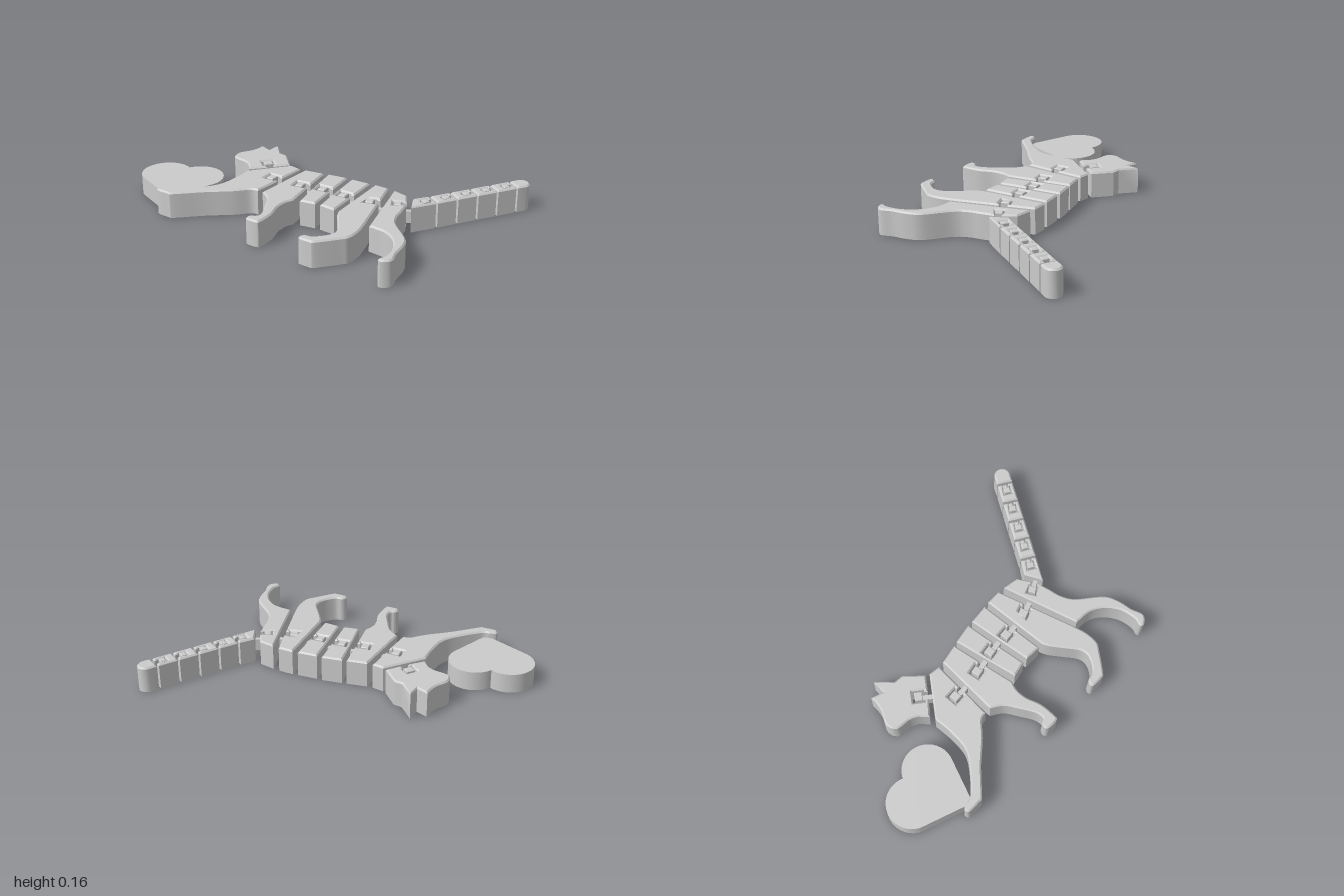
import * as THREE from 'three';
import { toCreasedNormals } from 'three/addons/utils/BufferGeometryUtils.js';

const H = 0.155, BEVEL = 0.009;
const material = new THREE.MeshStandardMaterial({ color: 0xcccccc });

// A joint is a point on a segment's edge, plus the direction into that segment
function joint(x, z, dx, dz, scale = 1) {
  const l = Math.hypot(dx, dz);
  return { x, z, dx: dx / l, dz: dz / l, scale };
}

// Joint coordinates (u inward, v along the edge) to plan coordinates
function at(j, u, v) {
  u *= j.scale; v *= j.scale;
  return [j.x + j.dx * u + j.dz * v, j.z + j.dz * u - j.dx * v];
}

// T-shaped pocket, spliced into an outline
function socket(j) {
  return [[0, -0.022], [0.02, -0.022], [0.02, -0.035], [0.09, -0.035],
    [0.09, 0.035], [0.02, 0.035], [0.02, 0.022], [0, 0.022]].map(([u, v]) => at(j, u, v));
}

// Plan outline: straight corners, then an optional smooth run
function outline(corners, curve = []) {
  const s = new THREE.Shape();
  corners.forEach(([x, z], i) => (i ? s.lineTo(x, -z) : s.moveTo(x, -z)));
  if (curve.length) s.splineThru(curve.map(([x, z]) => new THREE.Vector2(x, -z)));
  return s;
}

// Upright plate with a chamfered top edge and a flat underside
function plate(name, shape, height = H, bevel = BEVEL, y = 0) {
  const g = new THREE.ExtrudeGeometry(shape, {
    depth: height - bevel, bevelEnabled: bevel > 0, bevelThickness: bevel,
    bevelSize: bevel, bevelOffset: -bevel, bevelSegments: 1, curveSegments: 5,
  });
  const p = g.attributes.position;
  for (let i = 0; i < p.count; i++) p.setZ(i, Math.max(0, p.getZ(i)));
  g.rotateX(-Math.PI / 2);
  const mesh = new THREE.Mesh(toCreasedNormals(g, 0.5), material);
  mesh.name = name;
  mesh.position.y = y;
  return mesh;
}

// Low neck and full-height head that sit in a neighbour's pocket
function tongue(j) {
  const rect = (u0, u1, v) => outline([[u0, -v], [u1, -v], [u1, v], [u0, v]].map(([u, w]) => at(j, u, w)));
  const g = new THREE.Group();
  g.name = 'hingeTongue';
  g.add(plate('hingeNeck', rect(-0.045, 0.045, 0.014), 0.07, 0, 0.043));
  g.add(plate('hingeHead', rect(0.033, 0.078, 0.025), H, 0.004));
  return g;
}

export function createModel() {
  const model = new THREE.Group();
  model.name = 'jointedCat';

  const neck = joint(-0.36, 0.022, -0.78, -0.63);
  const spine = [
    joint(-0.204, 0.135, -1, 0.03), joint(-0.014, 0.115, -1, 0.17), joint(0.123, 0.09, -1, 0.12),
    joint(0.262, 0.09, -1, 0.07), joint(0.424, 0.06, -1, 0.3), joint(0.557, -0.005, -0.87, 0.45, 0.85),
  ];

  // Head with pointed ear
  model.add(plate('head', outline(
    [[-0.59, -0.2], [-0.52, -0.175], [-0.515, -0.255], [-0.43, -0.17], [-0.38, -0.165], [-0.285, -0.07],
      ...socket(neck), [-0.445, 0.115], [-0.49, 0.065]],
    [[-0.535, 0.045], [-0.62, 0.03], [-0.643, -0.03], [-0.605, -0.105], [-0.592, -0.16]])));

  // Chest with the reaching front leg
  model.add(plate('chestAndFrontLeg', outline(
    [[-0.435, 0.15], [-0.265, -0.06], [-0.195, -0.05], ...socket(spine[0]), [-0.215, 0.325]],
    [[-0.26, 0.337], [-0.33, 0.41], [-0.45, 0.51], [-0.575, 0.632], [-0.605, 0.642], [-0.68, 0.641],
      [-0.693, 0.612], [-0.655, 0.594], [-0.61, 0.58], [-0.505, 0.475], [-0.445, 0.385],
      [-0.43, 0.27], [-0.433, 0.17]])));

  // Shoulder with the standing front leg
  model.add(plate('shoulderAndFrontLeg', outline(
    [[-0.163, -0.053], [-0.045, -0.075], ...socket(spine[1]), [0.02, 0.31]],
    [[0.003, 0.36], [0.005, 0.43], [0.033, 0.52], [0.036, 0.62], [0.022, 0.641], [-0.04, 0.641],
      [-0.056, 0.62], [-0.045, 0.594], [-0.02, 0.58], [-0.024, 0.53], [-0.07, 0.445],
      [-0.115, 0.372], [-0.18, 0.326]])));

  // Two plain ribs
  [[[-0.02, -0.082], [0.1, -0.102], [0.147, 0.28], [0.056, 0.298]],
    [[0.13, -0.102], [0.248, -0.112], [0.275, 0.283], [0.178, 0.278]]].forEach(([a, b, c, d], i) => {
    model.add(plate('rib', outline([a, b, ...socket(spine[2 + i]), c, d])));
  });

  // Flank with the near hind leg
  model.add(plate('flankAndHindLeg', outline(
    [[0.28, -0.117], [0.37, -0.117], ...socket(spine[4]), [0.505, 0.33]],
    [[0.526, 0.42], [0.524, 0.5], [0.495, 0.545], [0.41, 0.648], [0.38, 0.66], [0.32, 0.659],
      [0.306, 0.64], [0.325, 0.614], [0.37, 0.602], [0.423, 0.535], [0.425, 0.47], [0.375, 0.395],
      [0.325, 0.325], [0.303, 0.28]])));

  // Haunch with the trailing hind leg
  model.add(plate('haunchAndHindLeg', outline(
    [[0.537, 0.337], [0.41, -0.112], [0.505, -0.095], ...socket(spine[5]), [0.585, 0.095]],
    [[0.598, 0.16], [0.64, 0.235], [0.765, 0.345], [0.802, 0.425], [0.815, 0.51], [0.835, 0.585],
      [0.795, 0.625], [0.77, 0.612], [0.783, 0.565], [0.77, 0.48], [0.72, 0.4], [0.645, 0.35], [0.56, 0.339]])));

  // Tail base, links and rounded tip
  const pitch = 0.127, half = 0.046;
  const tailAt = (u, v) => [0.648 + 0.527 * u + 0.85 * v, -0.136 - 0.85 * u + 0.527 * v];
  const tailJoint = (i) => joint(...tailAt(i * pitch - 0.006, 0), -0.527, 0.85, 0.75);
  model.add(plate('tailBase', outline(
    [[0.552, -0.08], tailAt(-0.006, -half), ...socket(tailJoint(0)), tailAt(-0.006, half), [0.602, 0.02]])));
  for (let i = 0; i < 4; i++) {
    const a = i * pitch + 0.006, b = (i + 1) * pitch - 0.006;
    model.add(plate('tailLink', outline(
      [tailAt(a, -half), tailAt(b, -half), ...socket(tailJoint(i + 1)), tailAt(b, half), tailAt(a, half)])));
  }
  const tip = [tailAt(4 * pitch + 0.006, half), tailAt(4 * pitch + 0.006, -half)];
  for (let k = 0; k <= 12; k++) {
    const t = (k / 12) * Math.PI;
    tip.push(tailAt(4 * pitch + 0.055 + 0.048 * Math.sin(t), -0.048 * Math.cos(t)));
  }
  model.add(plate('tailTip', outline(tip)));

  // Hinges
  [neck, ...spine].forEach((j) => model.add(tongue(j)));
  for (let i = 0; i < 5; i++) model.add(tongue(tailJoint(i)));

  // Heart: two round lobes running into a point
  const heart = new THREE.Shape();
  heart.moveTo(-0.63, -0.615);
  heart.lineTo(-0.533, -0.37);
  heart.absarc(-0.665, -0.31, 0.145, -0.42, 2.68, false);
  heart.absarc(-0.855, -0.375, 0.145, 1.18, 4.25, false);
  heart.closePath();
  const heartMesh = plate('heart', heart, 0.115, 0);
  heartMesh.geometry = toCreasedNormals(
    new THREE.ExtrudeGeometry(heart, { depth: 0.115, bevelEnabled: false, curveSegments: 24 }).rotateX(-Math.PI / 2), 0.5);
  model.add(heartMesh);

  return model;
}
